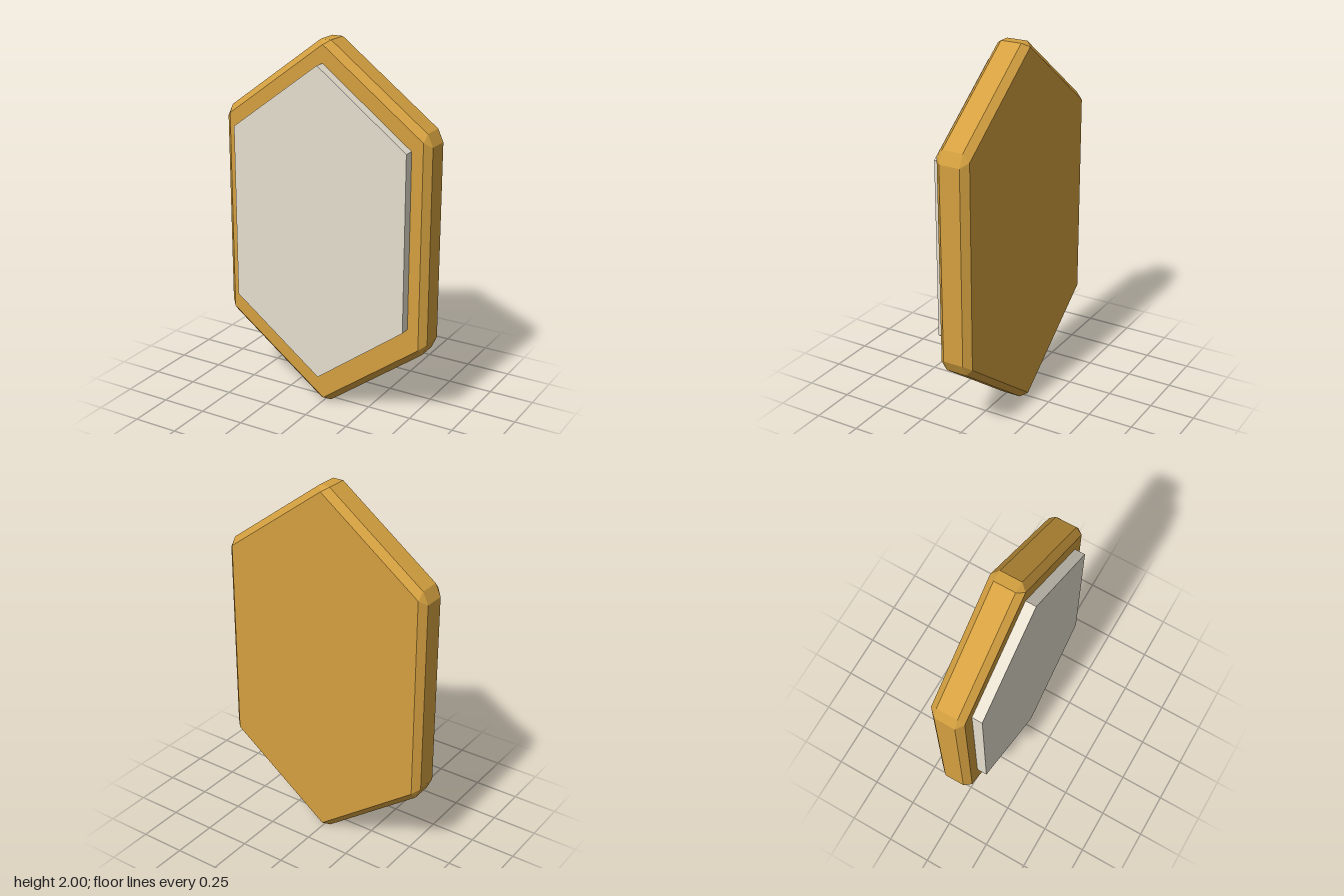
import * as THREE from 'three';
import { ConvexGeometry } from 'three/addons/geometries/ConvexGeometry.js';

// Mirror a quarter outline (x >= 0, heights measured from the middle) into all four quadrants
function mirrored(quarter, z) {
  const points = [];
  for (const [x, y] of quarter) {
    for (const sy of [1, -1]) {
      points.push(new THREE.Vector3(x, 1 + sy * y, z));
      if (x > 0) points.push(new THREE.Vector3(-x, 1 + sy * y, z));
    }
  }
  return points;
}

export function createModel() {
  const group = new THREE.Group();
  group.name = 'hexagonalPlaque';

  const gold = new THREE.MeshStandardMaterial({ color: 0xd4a040, flatShading: true });
  const ivory = new THREE.MeshStandardMaterial({ color: 0xe5decf, flatShading: true });

  // Bevelled frame: hexagonal faces front and back, clipped-corner rim between them
  const face = [[0, 0.98], [0.57, 0.556]];
  const rim = [[0.03, 1], [0.575, 0.595], [0.605, 0.53]];
  const frame = new THREE.Mesh(new ConvexGeometry([
    ...mirrored(face, 0.065),
    ...mirrored(rim, 0.03),
    ...mirrored(rim, -0.085),
    ...mirrored(face, -0.12),
  ]), gold);
  frame.name = 'frame';
  group.add(frame);

  // Raised panel, set slightly high on the front face
  const outline = new THREE.Shape([
    [0, 1.885], [-0.507, 1.505], [-0.507, 0.55],
    [0, 0.17], [0.507, 0.55], [0.507, 1.505],
  ].map(([x, y]) => new THREE.Vector2(x, y)));
  const panel = new THREE.Mesh(
    new THREE.ExtrudeGeometry(outline, { depth: 0.062, bevelEnabled: false }), ivory);
  panel.position.z = 0.06;
  panel.name = 'frontPanel';
  group.add(panel);

  return group;
}
